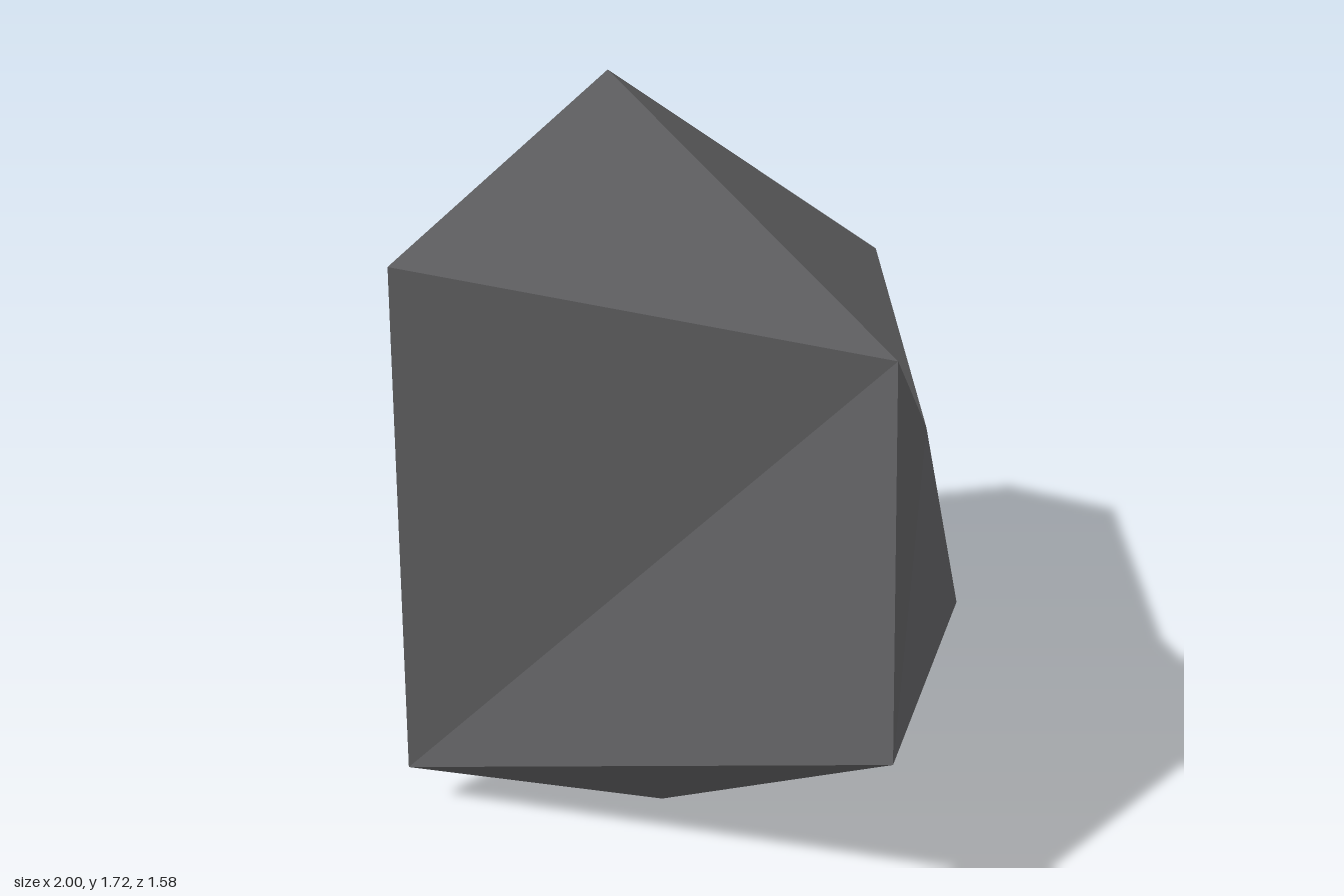
import * as THREE from 'three';

// A rock: an irregular icosahedron made of two end points and two rings of five corners.
export function createModel() {
  const stone = new THREE.MeshStandardMaterial({ color: 0x5e5e60, flatShading: true });
  stone.name = 'dark grey stone';

  const dent = [-0.36, 0.86, 0.63]; // inward corner on the front
  const nearRing = [
    [-1.0, 0.56, 0.02], [-0.7, 0.285, -0.29], [0.23, 0, 0.3],
    [-0.22, 0.13, 0.79], [-0.195, 1.59, 0.755],
  ];
  const farRing = [
    [-0.03, 1.16, -0.79], [0.79, 0.68, -0.18], [1.0, 0.56, 0.3],
    [0.79, 1.475, 0.105], [-0.48, 1.72, -0.21],
  ];
  const backPoint = [0.66, 1.13, -0.18];

  // Four triangles per step: near cap, two in the band, far cap
  const positions = [];
  const face = (a, b, c) => positions.push(...a, ...b, ...c);
  for (let i = 0; i < 5; i++) {
    const j = (i + 1) % 5;
    face(dent, nearRing[i], nearRing[j]);
    face(nearRing[j], nearRing[i], farRing[i]);
    face(nearRing[j], farRing[i], farRing[j]);
    face(backPoint, farRing[j], farRing[i]);
  }

  const geometry = new THREE.BufferGeometry();
  geometry.setAttribute('position', new THREE.Float32BufferAttribute(positions, 3));
  geometry.computeVertexNormals();

  const rock = new THREE.Mesh(geometry, stone);
  rock.name = 'rock';
  const group = new THREE.Group();
  group.name = 'rockModel';
  group.add(rock);
  return group;
}
